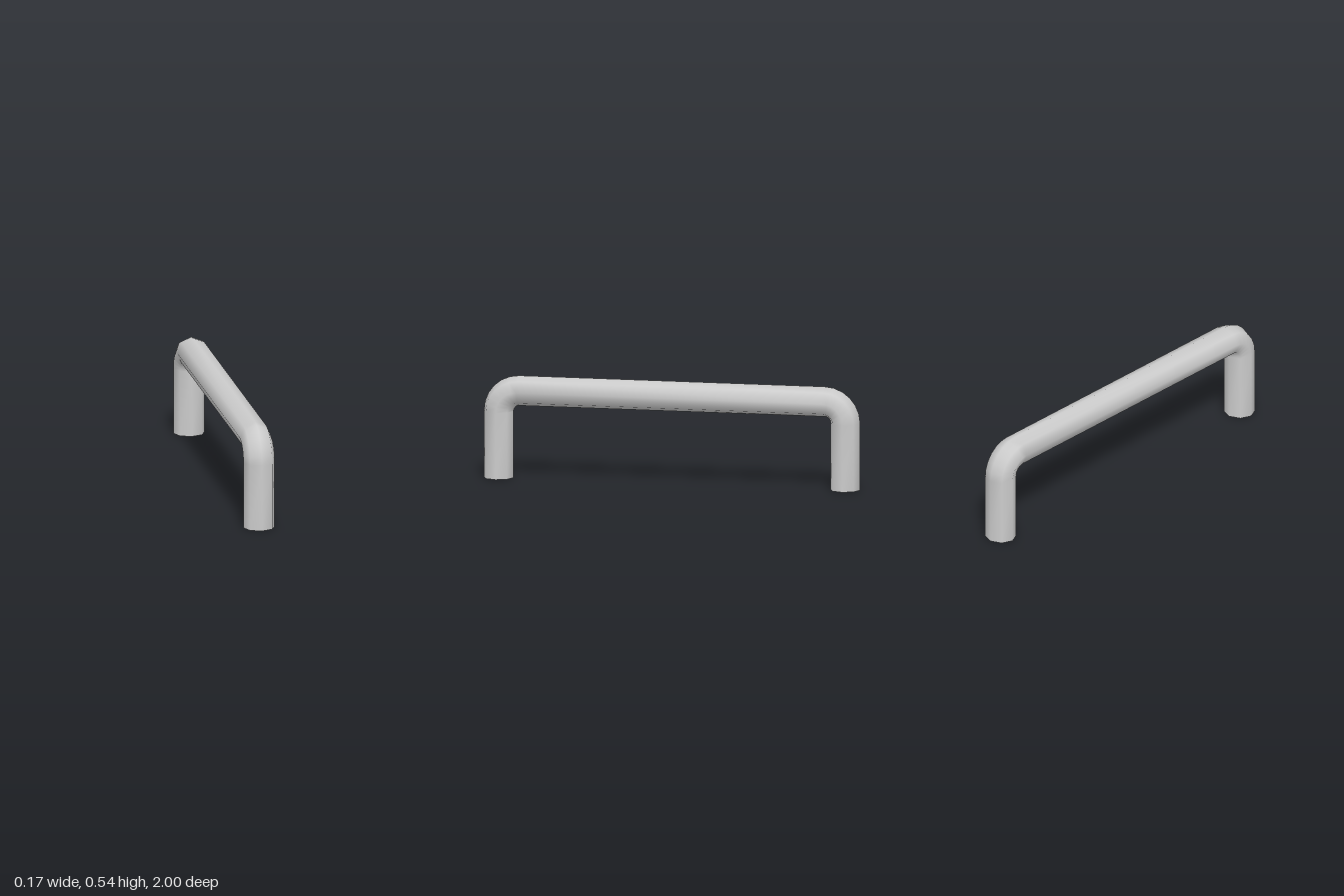
import * as THREE from 'three';

const SIDES = 8;           // octagonal tube
const HALF_X = 0.083;      // tube half width across
const HALF_N = 0.079;      // tube half depth in the plane of the bends
const LEG_Z = 0.921;       // centre line of the legs
const BAR_Y = 0.461;       // centre line of the grip
const BEND = 0.11;         // centre-line radius of the corners
const BEND_STEPS = 6;

// Stations along the centre line: position and outward angle (0 = +z, 90 deg = +y)
function handleStations() {
  const stations = [{ z: LEG_Z, y: 0, angle: 0 }];
  for (const side of [1, -1]) {
    for (let i = 0; i <= BEND_STEPS; i++) {
      const angle = (i / BEND_STEPS + (side < 0 ? 1 : 0)) * Math.PI / 2;
      stations.push({
        z: side * (LEG_Z - BEND) + BEND * Math.cos(angle),
        y: BAR_Y - BEND + BEND * Math.sin(angle),
        angle,
      });
    }
  }
  stations.push({ z: -LEG_Z, y: 0, angle: Math.PI });
  return stations;
}

// Skin the stations with elliptical rings, leaving both feet open
function sweepTube(stations) {
  const positions = [];
  const indices = [];
  stations.forEach(({ z, y, angle }, ring) => {
    for (let j = 0; j < SIDES; j++) {
      const a = (j / SIDES) * Math.PI * 2;
      const out = HALF_N * Math.sin(a);
      positions.push(HALF_X * Math.cos(a), y + out * Math.sin(angle), z + out * Math.cos(angle));
      if (ring === 0) continue;
      const k = (j + 1) % SIDES;
      const lower = (ring - 1) * SIDES;
      const upper = ring * SIDES;
      indices.push(lower + j, upper + j, lower + k, lower + k, upper + j, upper + k);
    }
  });
  const geometry = new THREE.BufferGeometry();
  geometry.setAttribute('position', new THREE.Float32BufferAttribute(positions, 3));
  geometry.setIndex(indices);
  geometry.computeVertexNormals();
  return geometry;
}

export function createModel() {
  const group = new THREE.Group();
  group.name = 'pullHandle';
  const material = new THREE.MeshStandardMaterial({ color: 0xcccccc, side: THREE.DoubleSide });
  const handle = new THREE.Mesh(sweepTube(handleStations()), material);
  handle.name = 'bentTube';
  group.add(handle);
  return group;
}
